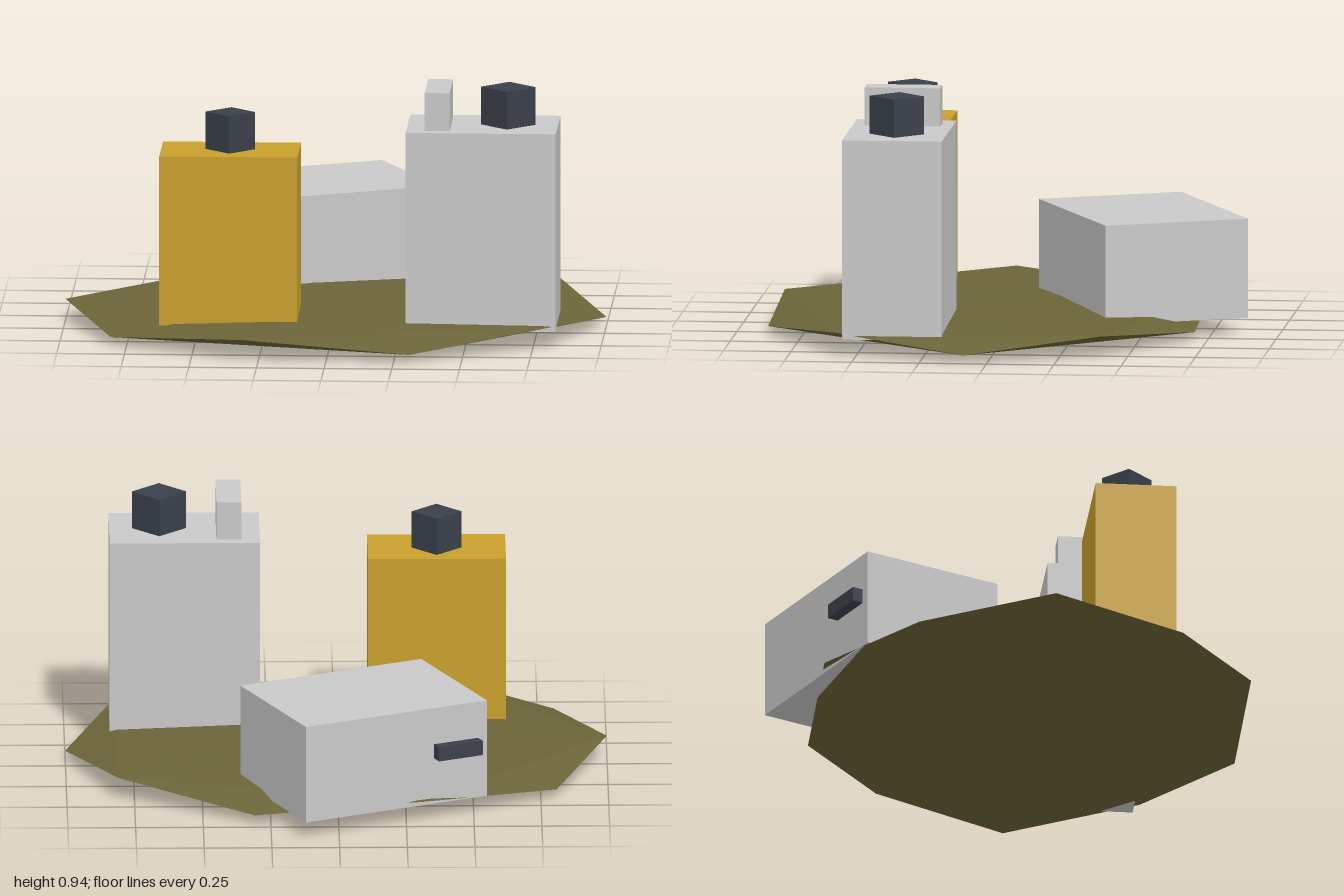
import * as THREE from 'three';

const mat = (name, color) => {
  const m = new THREE.MeshStandardMaterial({ color, flatShading: true });
  m.name = name;
  return m;
};

// Flattened vertex-up icosahedron: two alternating rings of five plus two poles
function moundGeometry(rx, rz, height) {
  const high = height * 0.7236, low = height * 0.2764;
  const ring = k => {
    const a = (k * Math.PI) / 5;
    return [rx * Math.cos(a), k % 2 ? high : low, -rz * Math.sin(a)];
  };
  const top = [0, height, 0], bottom = [0, 0, 0], pos = [];
  for (let k = 0; k < 10; k += 2) {
    pos.push(...top, ...ring(k + 1), ...ring(k + 3));
    pos.push(...ring(k + 1), ...ring(k + 2), ...ring(k + 3));
    pos.push(...ring(k), ...ring(k + 2), ...ring(k + 1));
    pos.push(...bottom, ...ring(k + 2), ...ring(k));
  }
  const g = new THREE.BufferGeometry();
  g.setAttribute('position', new THREE.Float32BufferAttribute(pos, 3));
  g.computeVertexNormals();
  return g;
}

export function createModel() {
  const olive = mat('olive ground', 0x6b6439);
  const ochre = mat('ochre wall', 0xc9a02d);
  const grey = mat('light grey wall', 0xc9c9c9);
  const slate = mat('dark slate', 0x3a404a);

  const model = new THREE.Group();
  model.name = 'blockTownOnMound';

  // Box given by centre x/z, bottom and top heights, and a turn about y
  const box = (name, material, parent, x, z, y0, y1, w, d, turn = 0) => {
    const mesh = new THREE.Mesh(new THREE.BoxGeometry(w, y1 - y0, d), material);
    mesh.name = name;
    mesh.position.set(x, (y0 + y1) / 2, z);
    mesh.rotation.y = turn;
    parent.add(mesh);
    return mesh;
  };

  // Ground
  const ground = new THREE.Mesh(moundGeometry(1, 0.832, 0.112), olive);
  ground.name = 'ground';
  ground.position.z = 0.087;
  model.add(ground);

  // Ochre block with its diagonal rooftop cube
  box('ochreBlock', ochre, model, -0.375, 0.42, 0.075, 0.71, 0.51, 0.3);
  box('ochreRoofCube', slate, model, -0.375, 0.41, 0.7, 0.85, 0.13, 0.13, Math.PI / 4);

  // Tall grey block with rooftop cube and ridge
  box('tallBlock', grey, model, 0.557, 0.367, 0.06, 0.803, 0.555, 0.37);
  box('tallRoofCube', slate, model, 0.65, 0.367, 0.79, 0.945, 0.142, 0.142, Math.PI / 4);
  box('tallRoofRidge', grey, model, 0.394, 0.367, 0.79, 0.945, 0.092, 0.28);

  // Low turned block with a dark bar on its back wall
  const low = new THREE.Group();
  low.name = 'lowBuilding';
  low.position.set(-0.095, 0, -0.473);
  low.rotation.y = 0.438;
  model.add(low);
  box('lowBlock', grey, low, 0, 0, 0.06, 0.43, 0.742, 0.557);
  box('backBar', slate, low, -0.245, -0.29, 0.235, 0.29, 0.18, 0.06);

  return model;
}
